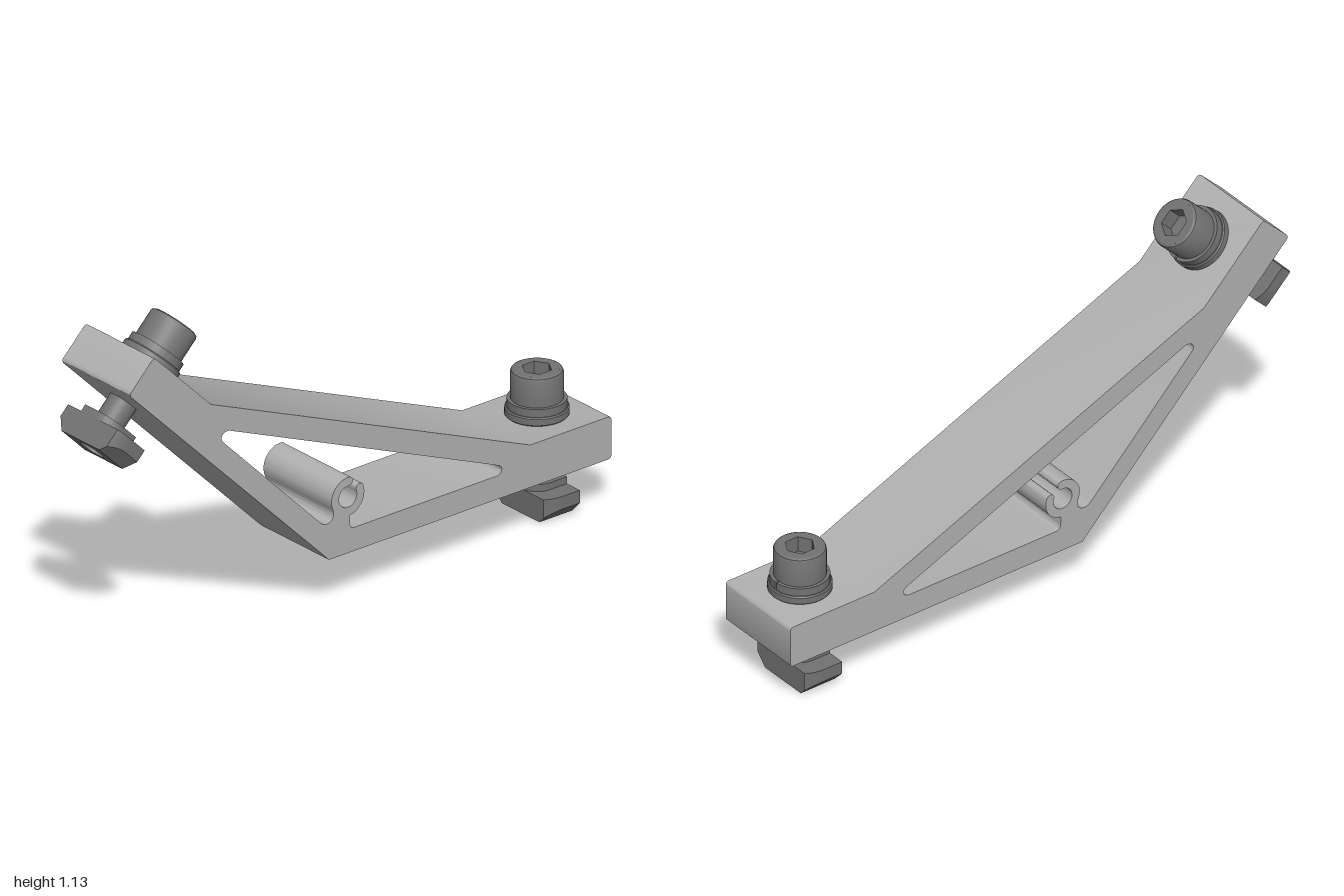
import * as THREE from 'three';
import { toCreasedNormals } from 'three/addons/utils/BufferGeometryUtils.js';
import { ConvexGeometry } from 'three/addons/geometries/ConvexGeometry.js';

const rad = THREE.MathUtils.degToRad;
const castGrey = new THREE.MeshStandardMaterial({ color: 0xb0b0b0 });
castGrey.name = 'cast grey';
const steelGrey = new THREE.MeshStandardMaterial({ color: 0x727272 });
steelGrey.name = 'dark steel grey';

function add(parent, name, geometry, material) {
  const mesh = new THREE.Mesh(geometry, material);
  mesh.name = name;
  parent.add(mesh);
  return mesh;
}

// extrude a plan outline upward from y0 to y1 (outline y becomes -z)
function plate(shape, y0, y1) {
  const g = new THREE.ExtrudeGeometry(shape, { depth: y1 - y0, bevelEnabled: false, curveSegments: 40 });
  return toCreasedNormals(g.rotateX(-Math.PI / 2).translate(0, y0, 0), 0.5);
}

function lathe(points) {
  const g = new THREE.LatheGeometry(points.map(([x, y]) => new THREE.Vector2(x, y)), 48);
  return toCreasedNormals(g, 0.5);
}

function circle(r) {
  return new THREE.Shape().absarc(0, 0, r, 0, Math.PI * 2, false);
}

// bent triangular frame with an inner opening and a C-shaped cable clip
function bracketGeometry() {
  const s = new THREE.Shape();
  s.moveTo(-0.14, 0.175);
  s.lineTo(0.983, 0.175);
  s.quadraticCurveTo(0.997, 0.175, 0.997, 0.189);
  s.lineTo(0.997, 0.306);
  s.quadraticCurveTo(0.997, 0.32, 0.983, 0.32);
  s.lineTo(0.67, 0.32);
  s.lineTo(-0.615, 0.85);
  s.lineTo(-0.835, 1.07);
  s.quadraticCurveTo(-0.845, 1.08, -0.855, 1.07);
  s.lineTo(-0.935, 0.99);
  s.quadraticCurveTo(-0.945, 0.98, -0.935, 0.97);
  s.closePath();

  const cx = -0.064, cy = 0.367, R = 0.066, r = 0.036;
  const mid = (R + r) / 2, cap = (R - r) / 2;
  const tip = a => [cx + mid * Math.cos(rad(a)), cy + mid * Math.sin(rad(a)), cap];
  const h = new THREE.Path();
  h.moveTo(-0.035, 0.255);
  h.lineTo(0.535, 0.255);
  h.bezierCurveTo(0.56, 0.257, 0.563, 0.282, 0.54, 0.29);
  h.lineTo(-0.54, 0.738);
  h.bezierCurveTo(-0.565, 0.745, -0.582, 0.725, -0.567, 0.707);
  h.lineTo(-0.175, 0.312);
  h.bezierCurveTo(-0.155, 0.288, -0.11, 0.3, cx + R * Math.cos(rad(205)), cy + R * Math.sin(rad(205)));
  h.absarc(cx, cy, R, rad(205), rad(85), true);
  h.absarc(...tip(85), rad(85), rad(-95), true);
  h.absarc(cx, cy, r, rad(85), rad(380), false);
  h.absarc(...tip(20), rad(200), rad(20), true);
  h.absarc(cx, cy, R, rad(20), rad(-85), true);
  h.quadraticCurveTo(-0.056, 0.29, -0.056, 0.275);
  h.quadraticCurveTo(-0.056, 0.255, -0.035, 0.255);
  s.holes.push(h);

  const g = new THREE.ExtrudeGeometry(s, { depth: 0.326, bevelEnabled: false, curveSegments: 16 });
  return toCreasedNormals(g.translate(0, 0, -0.163), 0.5);
}

// socket screw, washers and hammer nut; y = 0 is the seat under the washers
function makeFastener(name) {
  const g = new THREE.Group();
  g.name = name;
  const W = 0.066;

  add(g, 'flatWasher', lathe([[0, 0], [0.097, 0], [0.101, 0.004], [0.101, 0.025], [0.097, 0.029], [0, 0.029]]), steelGrey);

  // split spring washer
  const gap = 0.045;
  const ring = new THREE.Shape();
  ring.absarc(0, 0, 0.094, gap, Math.PI * 2 - gap, false);
  ring.absarc(0, 0, 0.05, Math.PI * 2 - gap, gap, true);
  ring.closePath();
  add(g, 'springWasher', plate(ring, 0.029, 0.056), steelGrey);

  // head wall, hexagonal socket and socket floor
  add(g, 'screwHead', lathe([[0, 0.056], [0.083, 0.056], [0.083, 0.144], [0.08, 0.151], [0.072, 0.155]]), steelGrey);
  const top = circle(0.072);
  const hex = Array.from({ length: 6 }, (_, i) =>
    new THREE.Vector2(0.048 * Math.cos(i * Math.PI / 3), 0.048 * Math.sin(i * Math.PI / 3)));
  top.holes.push(new THREE.Path(hex));
  add(g, 'hexSocket', plate(top, 0.1, 0.155), steelGrey);
  add(g, 'socketFloor', plate(circle(0.06), 0.095, 0.102), steelGrey);

  const shaft = new THREE.CylinderGeometry(0.048, 0.048, 0.35, 40).translate(0, -0.115, 0);
  add(g, 'screwShaft', shaft, steelGrey);

  // nut collar with two opposite rounded corners
  const collar = new THREE.Shape();
  collar.moveTo(W, 0);
  collar.absarc(0, 0, W, 0, Math.PI / 2, false);
  collar.lineTo(-W, W);
  collar.lineTo(-W, 0);
  collar.absarc(0, 0, W, Math.PI, Math.PI * 1.5, false);
  collar.lineTo(W, -W);
  collar.closePath();
  add(g, 'nutCollar', plate(collar, -0.238, -0.213), steelGrey);

  // nut middle with its threaded hole
  const core = new THREE.Shape([[W, -0.09], [W, 0.09], [-W, 0.09], [-W, -0.09]].map(p => new THREE.Vector2(...p)));
  core.holes.push(circle(0.043));
  add(g, 'nutCore', plate(core, -0.32, -0.237), steelGrey);

  // nut ends: chamfered below, one rounded corner each
  const plan = [[-W, 0.09], [W, 0.09], [W, 0.128]];
  for (let i = 0; i <= 6; i++) {
    const x = -W * i / 6;
    plan.push([x, Math.sqrt(0.128 ** 2 - x * x)]);
  }
  const points = plan.flatMap(([x, z]) => [
    new THREE.Vector3(x, -0.237, z),
    new THREE.Vector3(x, -0.32 + (z - 0.09) * 1.05, z),
  ]);
  for (const turn of [0, Math.PI]) {
    const end = toCreasedNormals(new ConvexGeometry(points), 0.4);
    add(g, 'nutEnd', end.rotateY(turn), steelGrey);
  }
  return g;
}

export function createModel() {
  const model = new THREE.Group();
  model.name = 'angleBracket';
  add(model, 'bracketFrame', bracketGeometry(), castGrey);

  const lower = makeFastener('lowerFastener');
  lower.position.set(0.834, 0.32, 0);
  const upper = makeFastener('upperFastener');
  upper.position.set(-0.732, 0.967, 0);
  upper.rotation.z = -Math.PI / 4;
  model.add(lower, upper);
  return model;
}
